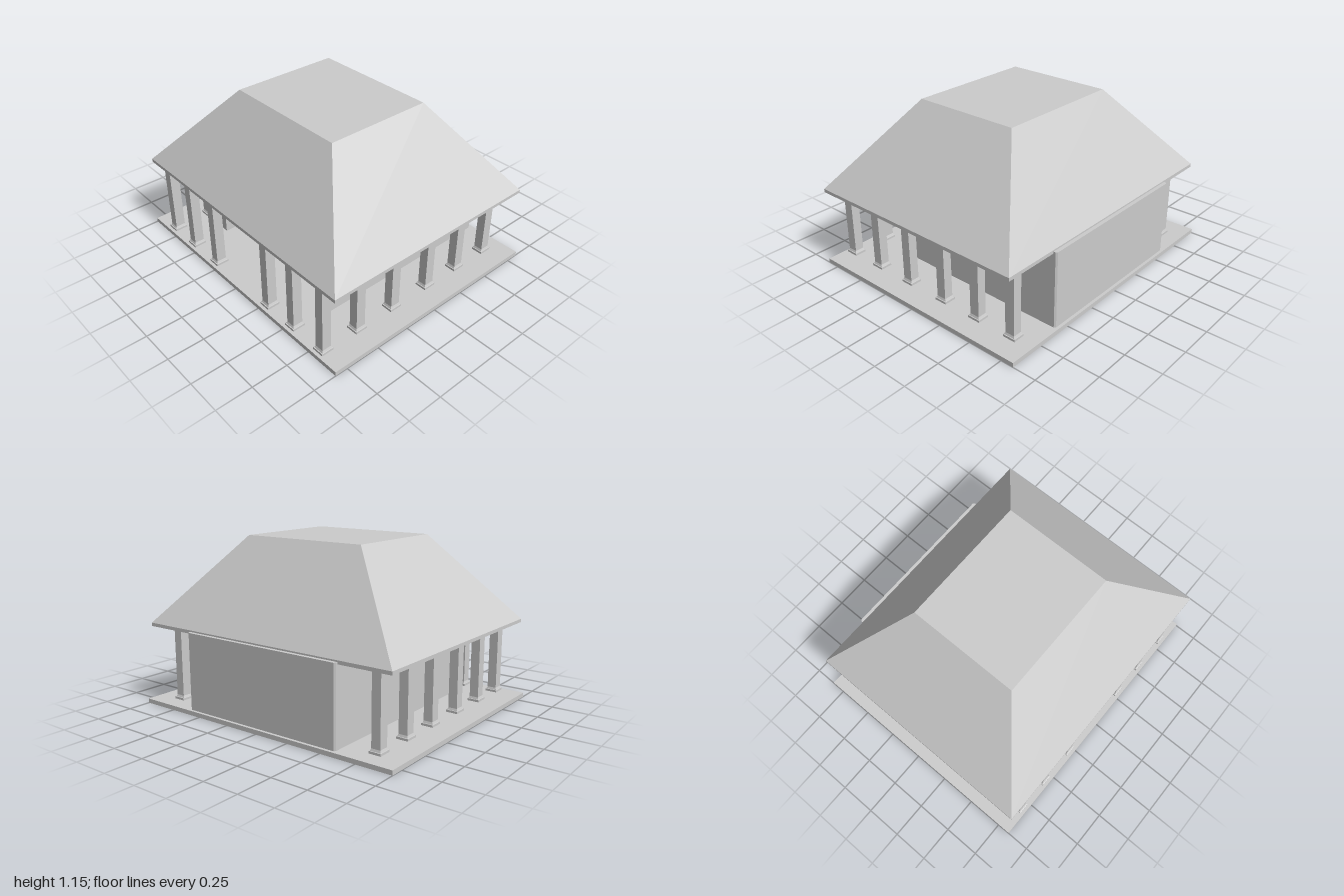
import * as THREE from 'three';

const material = new THREE.MeshStandardMaterial({ color: 0xcccccc, flatShading: true });

function addMesh(parent, name, geometry) {
  const mesh = new THREE.Mesh(geometry, material);
  mesh.name = name;
  parent.add(mesh);
  return mesh;
}

// Box given by its lower and upper limits on each axis
function boxBetween(x0, x1, y0, y1, z0, z1) {
  return new THREE.BoxGeometry(x1 - x0, y1 - y0, z1 - z0)
    .translate((x0 + x1) / 2, (y0 + y1) / 2, (z0 + z1) / 2);
}

// Square column with stepped base and flared capital: [half width, height]
function columnGeometry() {
  const profile = [
    [0.041, 0.03], [0.041, 0.045], [0.036, 0.046], [0.031, 0.06],
    [0.031, 0.515], [0.037, 0.528], [0.037, 0.54],
  ].map(([w, y]) => new THREE.Vector2(w * Math.SQRT2, y));
  const geometry = new THREE.LatheGeometry(profile, 4).rotateY(Math.PI / 4)
    .scale(1, 1, 1.1).toNonIndexed();
  geometry.computeVertexNormals();
  return geometry;
}

// Truncated hipped roof: a box whose upper corners are drawn in
function roofGeometry() {
  const geometry = boxBetween(-0.96, 0.98, 0.56, 1.15, -0.795, 0.83);
  const p = geometry.attributes.position;
  for (let i = 0; i < p.count; i++) {
    if (p.getY(i) < 1) continue;
    p.setX(i, p.getX(i) < 0 ? -0.445 : 0.465);
    p.setZ(i, p.getZ(i) < 0 ? -0.365 : 0.4);
  }
  geometry.computeVertexNormals();
  return geometry;
}

// U-shaped chamber plan, open to the front, with small chamfers outside
function wallGeometry() {
  const half = [[0.53, 0.54], [0.588, 0.54], [0.598, 0.53], [0.598, -0.81], [0.588, -0.82]];
  const inner = [0.53, -0.75];
  const right = [inner, ...half];
  const left = right.map(([x, z]) => [-x, z]).reverse();
  const shape = new THREE.Shape([...right, ...left].map(([x, z]) => new THREE.Vector2(x, -z)));
  return new THREE.ExtrudeGeometry(shape, { depth: 0.52, bevelEnabled: false })
    .rotateX(-Math.PI / 2).translate(0, 0.03, 0);
}

export function createModel() {
  const model = new THREE.Group();
  model.name = 'templeHall';

  addMesh(model, 'floorSlab', boxBetween(-1, 1, 0, 0.03, -0.84, 0.84));
  addMesh(model, 'chamberWalls', wallGeometry());
  addMesh(model, 'eavesSlab', boxBetween(-0.96, 0.98, 0.537, 0.56, -0.795, 0.83));
  addMesh(model, 'hippedRoof', roofGeometry());

  const column = columnGeometry();
  const addColumn = (name, x, z) => addMesh(model, name, column).position.set(x, 0, z);

  // Front row, including the corners
  for (const x of [-0.805, -0.555, -0.28, 0.29, 0.545, 0.815]) addColumn('frontColumn', x, 0.773);
  // Side rows
  for (const z of [0.5, 0.203, -0.11, -0.397, -0.68]) {
    addColumn('rightColumn', -0.805, z);
    addColumn('leftColumn', 0.815, z);
  }
  // Two rows inside the chamber
  for (const z of [0.37, 0.16, -0.05]) {
    addColumn('innerColumn', -0.28, z);
    addColumn('innerColumn', 0.29, z);
  }
  return model;
}
